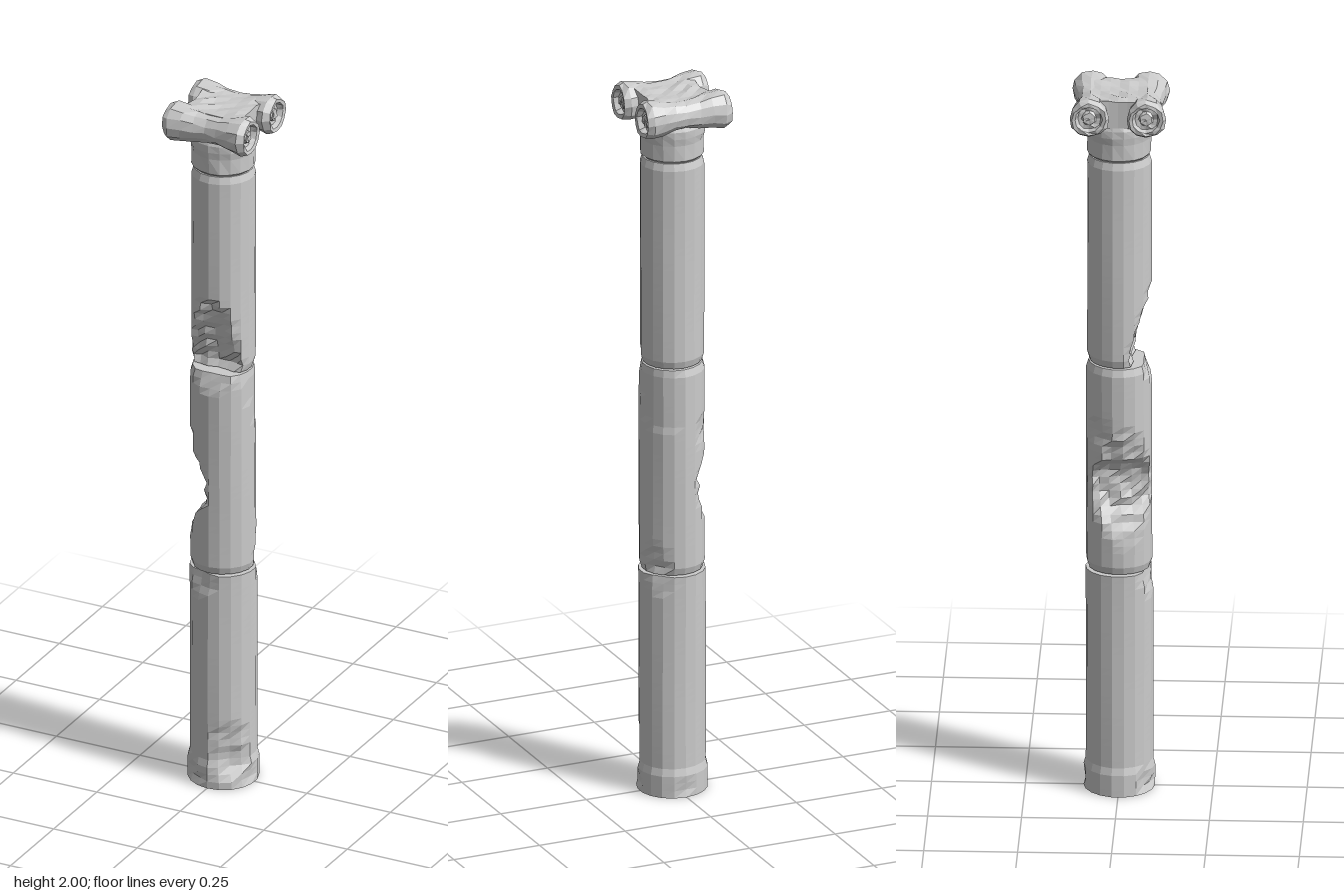
import * as THREE from 'three';

const material = new THREE.MeshStandardMaterial({ color: 0xcccccc, flatShading: true });
const rad = THREE.MathUtils.degToRad;

// Repeatable noise in -1..1 from a position, so shared corners stay together
function noise(p, seed = 0) {
  const r = (v) => Math.round(v * 1000);
  const s = Math.sin(r(p.x) * 12.99 + r(p.y) * 78.23 + r(p.z) * 37.72 + seed * 9.1) * 43758.5453;
  return (s - Math.floor(s)) * 2 - 1;
}

// Linear lookup in a list of [y, value] pairs; outside the list there is no value
function lookup(list, y) {
  for (let i = 1; i < list.length; i++) {
    const [y0, a] = list[i - 1], [y1, b] = list[i];
    if (y >= y0 && y <= y1) return a + (b - a) * (y - y0) / (y1 - y0);
  }
  return Infinity;
}

// Damage: compass angle (0 = front, 90 = +x), distance of the broken face from
// the axis at each height, and how rough the broken face is
const cuts = [
  { angle: 0, rough: 0.009, face: [[1.221, 0.036], [1.24, 0.03], [1.29, 0.038], [1.35, 0.058], [1.4, 0.068], [1.45, 0.088]] },
  { angle: -78, rough: 0.008, face: [[0.67, 0.09], [0.73, 0.083], [0.78, 0.066], [0.82, 0.037], [0.87, 0.028], [0.92, 0.03], [0.955, 0.062], [1.0, 0.077], [1.06, 0.09]] },
  { angle: 0, rough: 0.004, face: [[1.16, 0.088], [1.2, 0.074], [1.219, 0.064]] },
  { angle: -15, rough: 0.003, face: [[0.56, 0.09], [0.6, 0.08], [0.629, 0.074]] },
  { angle: 40, rough: 0.005, face: [[0.04, 0.083], [0.08, 0.074], [0.13, 0.077], [0.17, 0.08], [0.21, 0.092]] },
  { angle: 125, rough: 0.003, face: [[0.64, 0.075], [0.68, 0.078], [0.73, 0.089]] },
  { angle: 140, rough: 0.003, face: [[0.57, 0.09], [0.629, 0.079]] },
  { angle: -130, rough: 0.003, face: [[0.96, 0.09], [1.03, 0.079], [1.1, 0.089]] },
  { angle: -35, rough: 0.004, face: [[0, 0.082], [0.03, 0.085], [0.07, 0.093]] },
  { angle: 75, rough: 0.004, face: [[0, 0.092], [0.04, 0.088], [0.06, 0.095]] },
  { angle: 175, rough: 0.003, face: [[0, 0.09], [0.05, 0.094]] },
];

function damage(p) {
  for (const { angle, rough, face } of cuts) {
    const n = new THREE.Vector3(Math.sin(rad(angle)), 0, Math.cos(rad(angle)));
    const over = p.dot(n) - lookup(face, p.y);
    if (over > 0) p.addScaledVector(n, -over + Math.min(rough, over) * noise(p, angle));
  }
}

// Apply a rule to every vertex and give the result hard facets
function sculpt(geometry, rule) {
  const pos = geometry.attributes.position, p = new THREE.Vector3();
  for (let i = 0; i < pos.count; i++) {
    rule(p.fromBufferAttribute(pos, i));
    pos.setXYZ(i, p.x, p.y, p.z);
  }
  const flat = geometry.toNonIndexed();
  flat.computeVertexNormals();
  return flat;
}

function mesh(name, geometry, parent) {
  const m = new THREE.Mesh(geometry, material);
  m.name = name;
  parent.add(m);
  return m;
}

// One worn shaft drum with bevelled ends
function drum(y0, y1, radius) {
  const h = y1 - y0;
  const g = new THREE.CylinderGeometry(radius, radius, h, 18, Math.round(h / 0.02));
  g.translate(0, (y0 + y1) / 2, 0);
  return sculpt(g, (p) => {
    const angle = THREE.MathUtils.radToDeg(Math.atan2(p.x, p.z));
    const end = Math.min(p.y - y0, y1 - p.y);
    let s = 1 + 0.012 * Math.sin(3 * rad(angle) + p.y * 5);
    if (end < 0.001 && y0 > 0) s *= 0.93;
    // Flared foot
    if (p.y < 0.061) s *= 1.06;
    // Slipped slab at the top of the middle drum
    const slabEdge = 1.2 - 0.16 * THREE.MathUtils.smoothstep(angle, 45, 120);
    if (angle > 45 && angle < 160 && p.y > slabEdge && p.y < 1.215) s *= 0.965;
    p.x *= s;
    p.z *= s;
    damage(p);
  });
}

// Scroll roll lying along x, pinched in the middle, with hollow ends
function scrollRoll() {
  const half = [[0.001, 0.112], [0.016, 0.114], [0.02, 0.104], [0.031, 0.106], [0.036, 0.121],
    [0.046, 0.122], [0.053, 0.105], [0.048, 0.07], [0.041, 0.035]];
  const outline = [
    ...half.map(([r, x]) => new THREE.Vector2(r, -x)),
    new THREE.Vector2(0.038, 0),
    ...half.map(([r, x]) => new THREE.Vector2(r, x)).reverse(),
  ];
  const g = new THREE.LatheGeometry(outline, 12);
  g.rotateZ(-Math.PI / 2);
  return sculpt(g, (p) => {
    const w = 0.0025;
    p.set(p.x + w * noise(p, 1), p.y + w * noise(p, 2), p.z + w * noise(p, 3));
  });
}

export function createModel() {
  const column = new THREE.Group();
  column.name = 'ruinedColumn';

  // Shaft
  const shaft = new THREE.Group();
  shaft.name = 'shaft';
  column.add(shaft);
  mesh('lowerDrum', drum(0, 0.628, 0.09), shaft);
  mesh('middleDrum', drum(0.632, 1.218, 0.088), shaft);
  mesh('upperDrum', drum(1.222, 1.808, 0.086), shaft);

  // Capital
  const capital = new THREE.Group();
  capital.name = 'capital';
  column.add(capital);
  const neckOutline = [[0, 1.809], [0.078, 1.809], [0.085, 1.816], [0.085, 1.86], [0.088, 1.88],
    [0.088, 1.9], [0.078, 1.925], [0, 1.925]].map(([r, y]) => new THREE.Vector2(r, y));
  mesh('neck', sculpt(new THREE.LatheGeometry(neckOutline, 18), (p) => {
    const s = 1 + 0.015 * noise(p);
    p.x *= s;
    p.z *= s;
  }), capital);

  // Slab joining the two rolls, worn to a shallow dip on top
  const cushion = new THREE.BoxGeometry(0.18, 0.08, 0.15, 6, 2, 6);
  cushion.translate(0, 1.95, 0);
  mesh('cushion', sculpt(cushion, (p) => {
    p.x *= 1 - 0.12 * Math.cos(p.z * 20);
    p.x += Math.sign(p.x) * 0.004;
    if (p.y > 1.98) p.y += 0.004 * noise(p) - 0.003;
  }), capital);

  for (const side of [1, -1]) {
    const roll = mesh(side > 0 ? 'frontScroll' : 'backScroll', scrollRoll(), capital);
    roll.position.set(0, 1.947, side * 0.076);
  }
  return column;
}
